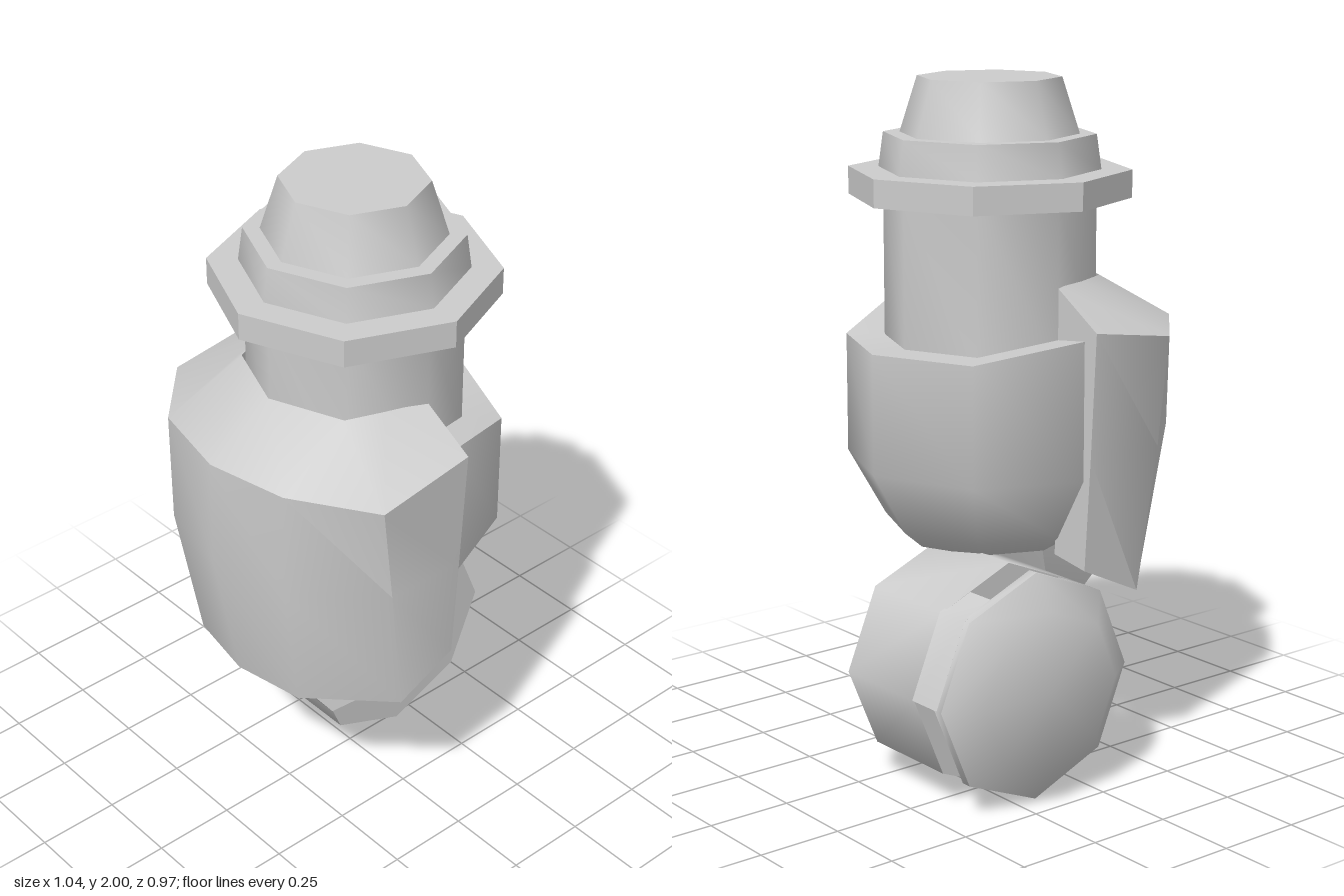
import * as THREE from 'three';
import { toCreasedNormals } from 'three/addons/utils/BufferGeometryUtils.js';
import { ConvexGeometry } from 'three/addons/geometries/ConvexGeometry.js';

const SIDES = 8;
const AXIS_Z = 0.018; // the upright stack sits slightly forward

export function createModel() {
  const model = new THREE.Group();
  const material = new THREE.MeshStandardMaterial({ color: 0xcccccc });

  function add(name, geometry, crease = 0.9) {
    const mesh = new THREE.Mesh(toCreasedNormals(geometry, crease), material);
    mesh.name = name;
    model.add(mesh);
    return mesh;
  }

  // Octagonal turned part; profile is [radius, y] from bottom to top
  function turned(profile) {
    return new THREE.LatheGeometry(profile.map(([r, y]) => new THREE.Vector2(r, y)), SIDES);
  }

  // Upright stack: neck, flange, collar and tapered tip
  const stack = {
    neck: [[0, 1.2], [0.307, 1.2], [0.307, 1.68], [0, 1.68]],
    flange: [[0, 1.66], [0.408, 1.66], [0.408, 1.74], [0, 1.74]],
    collar: [[0, 1.73], [0.32, 1.74], [0.306, 1.84], [0, 1.84]],
    tip: [[0, 1.83], [0.258, 1.84], [0.207, 2], [0, 2]],
  };
  for (const [name, profile] of Object.entries(stack)) {
    add(name, turned(profile), name === 'flange' ? 0.6 : 0.9).position.z = AXIS_Z;
  }

  // Body with tapered underside; its rim rises where it meets the half shell
  const bodyGeometry = turned([[0, 0.64], [0.25, 0.66], [0.31, 0.71], [0.42, 0.9], [0.42, 1.25], [0, 1.25]]);
  const p = bodyGeometry.attributes.position;
  for (let i = 0; i < p.count; i++) {
    if (Math.abs(p.getX(i)) < 0.01 && Math.abs(p.getZ(i)) > 0.4 && p.getY(i) > 1.2) {
      p.setY(i, p.getZ(i) > 0 ? 1.34 : 1.3);
    }
  }
  add('body', bodyGeometry).position.z = AXIS_Z;

  // Half shell around the right side, one cross-section per row:
  // inner top, outer top, outer middle, outer bottom, inner bottom
  const sections = [
    [[0, 1.435, 0.32], [0, 1.34, 0.487], [0, 0.97, 0.465], [0, 0.64, 0.445], [0, 0.66, 0.32]],
    [[-0.12, 1.435, 0.28], [-0.295, 1.28, 0.477], [-0.25, 0.97, 0.463], [-0.19, 0.545, 0.44], [-0.12, 0.62, 0.27]],
    [[-0.23, 1.435, 0.24], [-0.465, 1.3, 0.26], [-0.468, 0.97, 0.26], [-0.4, 0.545, 0.23], [-0.22, 0.62, 0.22]],
    [[-0.315, 1.435, 0.02], [-0.515, 1.3, 0.01], [-0.52, 0.97, 0.01], [-0.44, 0.545, 0.01], [-0.28, 0.62, 0.02]],
    [[-0.23, 1.435, -0.2], [-0.46, 1.3, -0.25], [-0.465, 0.97, -0.24], [-0.4, 0.545, -0.21], [-0.22, 0.62, -0.18]],
    [[-0.12, 1.435, -0.25], [-0.27, 1.29, -0.455], [-0.25, 0.97, -0.435], [-0.2, 0.545, -0.41], [-0.12, 0.62, -0.23]],
    [[0, 1.435, -0.285], [0, 1.33, -0.452], [0, 0.97, -0.432], [0, 0.64, -0.41], [0, 0.66, -0.28]],
  ];
  const n = sections[0].length;
  const last = (sections.length - 1) * n;
  const index = [];
  for (let s = 0; s < sections.length - 1; s++) {
    for (let k = 0; k < n; k++) {
      const a = s * n + k, b = s * n + ((k + 1) % n);
      index.push(a, a + n, b, b, a + n, b + n);
    }
  }
  for (let k = 1; k < n - 1; k++) {
    index.push(0, k, k + 1, last, last + k + 1, last + k);
  }
  const shellGeometry = new THREE.BufferGeometry();
  shellGeometry.setAttribute('position', new THREE.Float32BufferAttribute(sections.flat(2), 3));
  shellGeometry.setIndex(index);
  add('halfShell', shellGeometry, 0.8);

  // Faceted bracket under the shell, reaching the drum
  add('bracket', new ConvexGeometry([
    [-0.02, 0.68, 0.02], [-0.1, 0.68, 0.3], [-0.2, 0.54, 0.35], [-0.27, 0.42, 0.23],
    [-0.15, 0.34, 0.02], [-0.36, 0.55, 0.1], [-0.36, 0.55, -0.1], [-0.28, 0.43, 0.02],
    [-0.15, 0.36, -0.1], [-0.3, 0.7, -0.1], [-0.02, 0.66, -0.2],
  ].map((c) => new THREE.Vector3(...c))), 0.5);

  // Drum lying front to back: front part, and a chamfered cap behind a slot
  const drumX = 0.182, drumY = 0.338;
  function drumPart(name, profile) {
    add(name, turned(profile).rotateX(-Math.PI / 2)).position.set(drumX, drumY, 0);
  }
  drumPart('drum', [[0, -0.018], [0.335, -0.018], [0.335, 0.295], [0, 0.295]]);
  drumPart('drumCap', [[0, 0.385], [0.335, 0.385], [0.335, 0.415], [0.237, 0.486], [0, 0.486]]);

  // Two bridges across the slot join the cap to the drum
  function bridge(name, points) {
    const shape = new THREE.Shape(points.map(([x, y]) => new THREE.Vector2(x, y)));
    const geometry = new THREE.ExtrudeGeometry(shape, { depth: 0.11, bevelEnabled: false });
    add(name, geometry).position.z = -0.395;
  }
  bridge('rightBridge', [[0, 0.085], [0, 0.595], [-0.055, 0.575], [-0.153, 0.338], [-0.055, 0.101]]);
  bridge('leftBridge', [[0.32, 0.1], [0.37, 0.1], [0.43, 0.338], [0.517, 0.338], [0.419, 0.575], [0.32, 0.615]]);

  return model;
}
